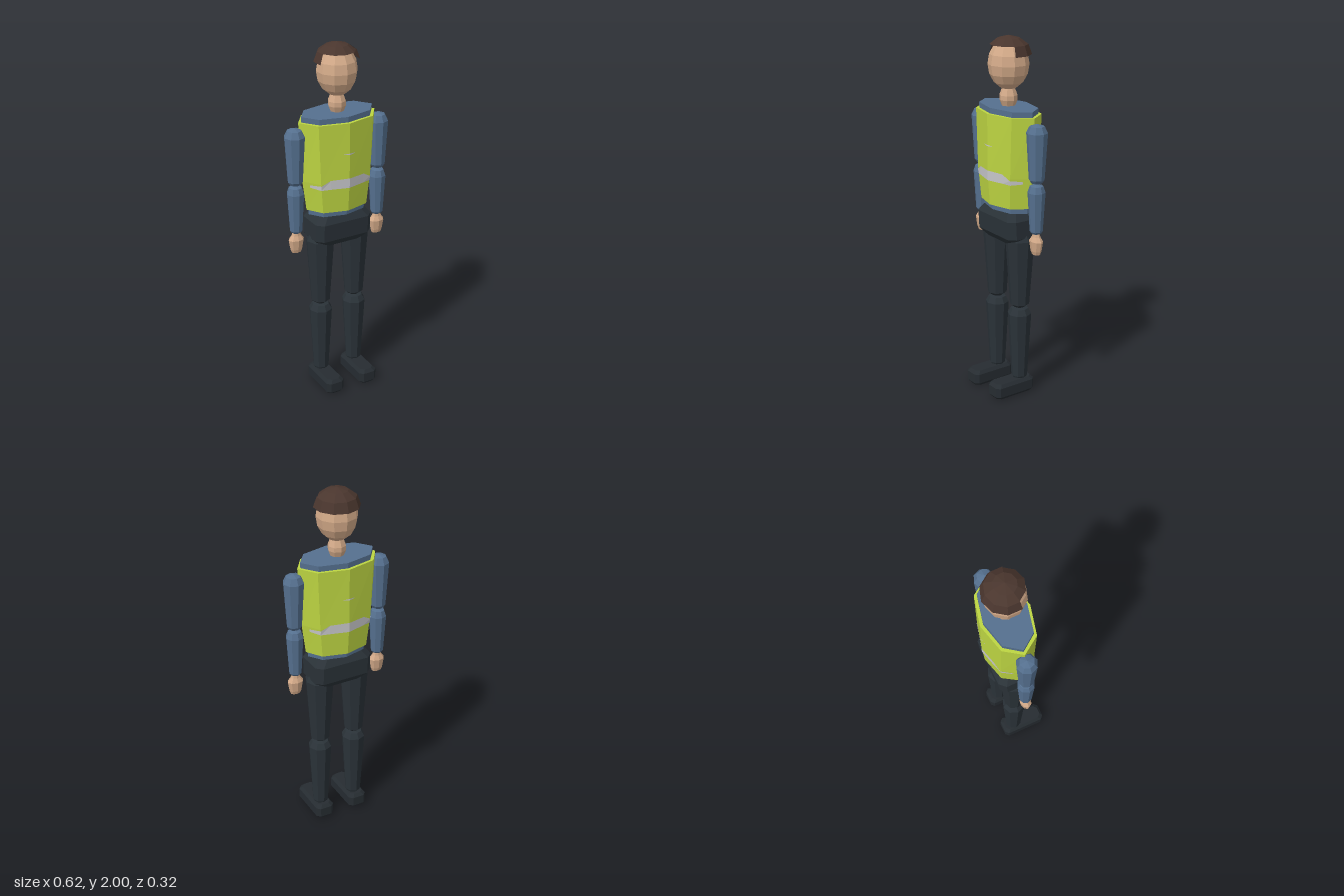
import * as THREE from 'three';

const CZ = -0.024; // depth of the body axis
const std = (name, color, extra = {}) => Object.assign(new THREE.MeshStandardMaterial({ color, ...extra }), { name });

// Faceted solid from a stack of closed sections, listed bottom to top
function loft(sections, { closed = true, caps = true } = {}) {
  const pos = [];
  const tri = (...pts) => pts.forEach((p) => pos.push(p.x, p.y, p.z));
  const n = sections[0].length;
  const steps = closed ? n : n - 1;
  for (let i = 0; i < sections.length - 1; i++) {
    for (let j = 0; j < steps; j++) {
      const k = (j + 1) % n;
      const a = sections[i][j], b = sections[i][k], c = sections[i + 1][j], d = sections[i + 1][k];
      tri(a, c, b);
      tri(b, c, d);
    }
  }
  if (caps) {
    [sections[0], sections[sections.length - 1]].forEach((s, top) => {
      const mid = s.reduce((m, p) => m.add(p), new THREE.Vector3()).divideScalar(n);
      for (let j = 0; j < n; j++) {
        const k = (j + 1) % n;
        if (top) tri(mid, s[k], s[j]);
        else tri(mid, s[j], s[k]);
      }
    });
  }
  const g = new THREE.BufferGeometry();
  g.setAttribute('position', new THREE.Float32BufferAttribute(pos, 3));
  g.computeVertexNormals();
  return g;
}

// Elliptical rings [y, rx, rz]
const ovals = (rings, sides = 8, start = 0, count = sides) => rings.map(([y, rx, rz = rx]) =>
  Array.from({ length: count }, (_, j) => {
    const a = start + (j / sides) * Math.PI * 2;
    return new THREE.Vector3(rx * Math.cos(a), y, rz * Math.sin(a));
  }));

// Rectangular rings [y, halfX, halfZ] with chamfered corners
const blocks = (rings, cut) => rings.map(([y, w, d]) =>
  [[w, -d + cut], [w, d - cut], [w - cut, d], [-w + cut, d], [-w, d - cut], [-w, -d + cut], [-w + cut, -d], [w - cut, -d]]
    .map(([x, z]) => new THREE.Vector3(x, y, z)));

const VEST = [[1.1, 0.188, 0.122], [1.27, 0.211, 0.135], [1.6, 0.23, 0.137]];

// Depth of the vest's surface at a given x and y
function vestDepth(x, y) {
  const i = y < VEST[1][0] ? 0 : 1;
  const t = (y - VEST[i][0]) / (VEST[i + 1][0] - VEST[i][0]);
  const rx = THREE.MathUtils.lerp(VEST[i][1], VEST[i + 1][1], t);
  const rz = THREE.MathUtils.lerp(VEST[i][2], VEST[i + 1][2], t);
  const c = Math.SQRT1_2, u = Math.abs(x) / rx;
  return u < c ? rz * (1 - (u / c) * (1 - c)) : rz * c * (1 - (u - c) / (1 - c));
}

// Thin strip lying on the vest, given half of its outline as [x, low, high]
function strip(half, side) {
  const cols = [...half.slice(1).reverse().map(([x, l, h]) => [-x, l, h]), ...half];
  const row = (k) => cols.map((c) => new THREE.Vector3(c[0], c[k], side * (vestDepth(c[0], c[k]) + 0.003)));
  const rows = [row(1), row(2)];
  if (side > 0) rows.forEach((r) => r.reverse());
  return loft(rows, { closed: false, caps: false });
}

export function createModel() {
  const mat = {
    skin: std('skin', 0xd2a988),
    hair: std('hair brown', 0x4a362e, { side: THREE.DoubleSide }),
    shirt: std('shirt blue', 0x55708f),
    vest: std('vest yellow', 0xbdd542),
    stripe: std('reflective grey', 0xc9c9cc, { side: THREE.DoubleSide }),
    trousers: std('trouser charcoal', 0x2a3238),
    shoe: std('shoe black', 0x262c31),
  };
  const model = new THREE.Group();
  const add = (name, geometry, material, x = 0, z = CZ) => {
    const m = new THREE.Mesh(geometry, material);
    m.name = name;
    m.position.set(x, 0, z);
    model.add(m);
  };

  // Head and neck
  const headRings = [];
  for (let i = 0; i <= 8; i++) {
    const a = Math.PI * (i / 8 - 0.5);
    headRings.push([1.85 + 0.137 * Math.sin(a), Math.max(0.001, 0.11 * Math.cos(a))]);
  }
  add('head', loft(ovals(headRings, 10, -Math.PI / 2)), mat.skin);
  add('neck', loft(ovals([[1.62, 0.033], [1.66, 0.049], [1.685, 0.049], [1.725, 0.034]])), mat.skin);

  // Hair: a crown, and longer hair round the sides and back
  add('hairCrown', loft(ovals([[1.953, 0.1], [1.985, 0.06], [2, 0.001]], 10, -Math.PI / 2)), mat.hair);
  add('hairBack', loft(ovals([[1.9, 0.123], [1.953, 0.104], [1.985, 0.06]], 10, -Math.PI * 1.1, 7),
    { closed: false, caps: false }), mat.hair);

  // Torso
  add('shirt', loft(ovals([[1.07, 0.175, 0.105], [1.27, 0.19, 0.115], [1.63, 0.214, 0.12]])), mat.shirt);
  add('vest', loft(ovals(VEST)), mat.vest);
  for (const side of [1, -1]) {
    const face = side > 0 ? 'front' : 'back';
    add(face + 'Stripe', strip([[0, 1.238, 1.293], [0.1, 1.238, 1.29], [0.148, 1.236, 1.262], [0.185, 1.242, 1.256]], side), mat.stripe);
    add(face + 'ChestStripe', strip([[0, 1.426, 1.434], [0.035, 1.429, 1.431]], side), mat.stripe);
  }
  add('pelvis', loft(blocks([[0.89, 0.135, 0.07], [0.93, 0.17, 0.1], [1.03, 0.17, 0.106], [1.07, 0.14, 0.085]], 0.035)), mat.trousers);

  // Limbs, mirrored
  for (const s of [1, -1]) {
    const p = s > 0 ? 'left' : 'right';
    const ax = 0.253 * s, lx = 0.107 * s;
    add(p + 'UpperArm', loft(ovals([[1.262, 0.03], [1.28, 0.042], [1.53, 0.057], [1.565, 0.04], [1.577, 0.001]])), mat.shirt, ax);
    add(p + 'Forearm', loft(ovals([[0.983, 0.026], [0.995, 0.035], [1.21, 0.048], [1.245, 0.036], [1.257, 0.001]])), mat.shirt, ax);
    add(p + 'Hand', loft(ovals([[0.865, 0.028, 0.018], [0.885, 0.036, 0.025], [0.94, 0.046, 0.032], [0.965, 0.028, 0.02], [0.985, 0.02, 0.016]])), mat.skin, ax);
    add(p + 'Thigh', loft(ovals([[0.515, 0.03], [0.535, 0.054], [0.91, 0.08], [0.96, 0.055]])), mat.trousers, lx);
    add(p + 'Shin', loft(ovals([[0.08, 0.035], [0.1, 0.045], [0.475, 0.066], [0.507, 0.048], [0.518, 0.001]])), mat.trousers, lx);
    add(p + 'Shoe', loft(blocks([[0, 0.04, 0.113], [0.018, 0.054, 0.128], [0.072, 0.054, 0.128], [0.09, 0.04, 0.113]], 0.02)), mat.shoe, lx, 0.032);
  }
  return model;
}
